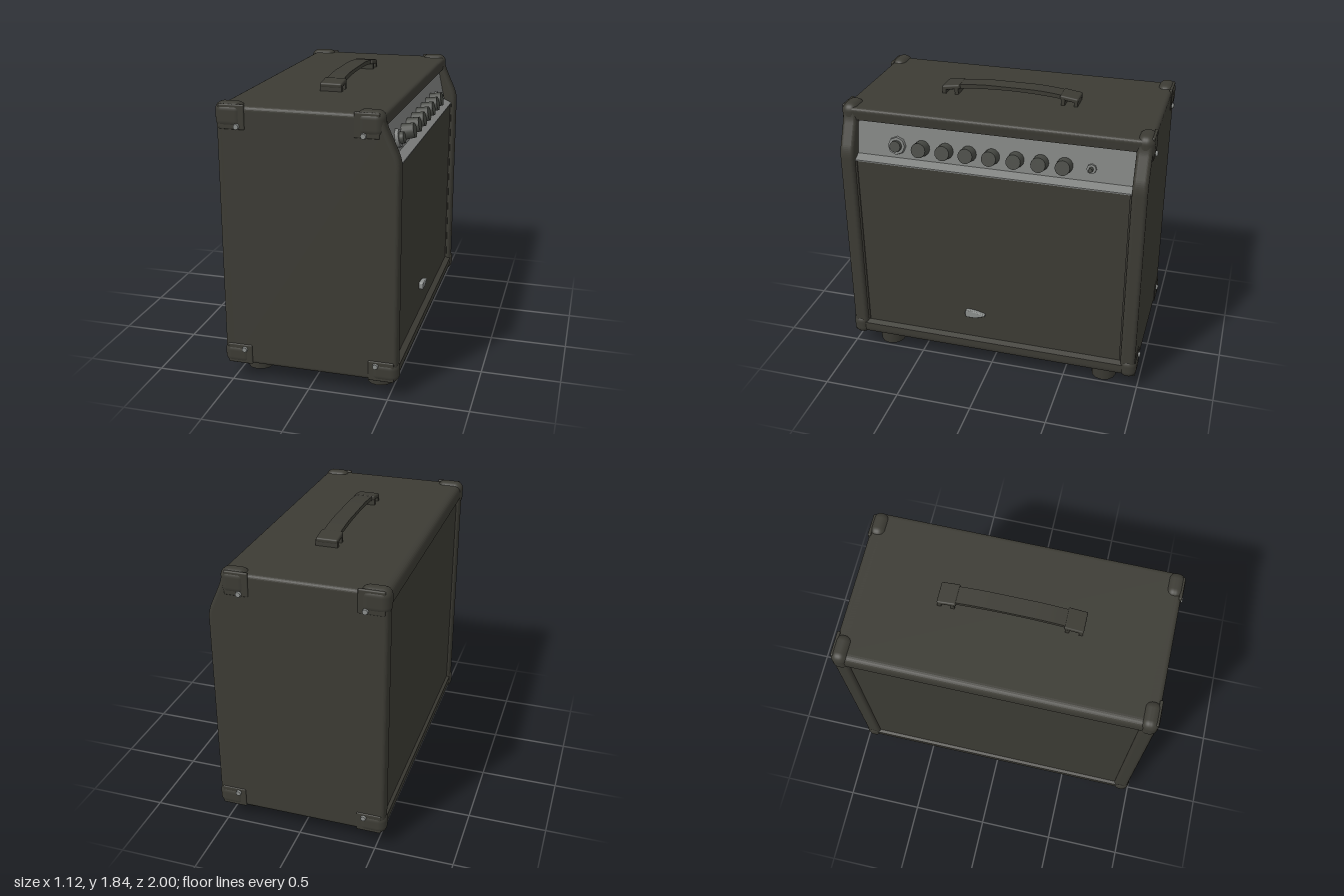
import * as THREE from 'three';
import { RoundedBoxGeometry } from 'three/addons/geometries/RoundedBoxGeometry.js';

const mat = (name, color) => {
  const m = new THREE.MeshStandardMaterial({ color });
  m.name = name;
  return m;
};

// Closed polygon whose points may carry a corner radius: [x, y, r]
function roundedShape(points) {
  const s = new THREE.Shape();
  const n = points.length;
  points.forEach(([x, y, r = 0], i) => {
    const p = new THREE.Vector2(x, y);
    const toward = (q) => new THREE.Vector2(q[0], q[1]).sub(p).setLength(r).add(p);
    const a = r ? toward(points[(i + n - 1) % n]) : p;
    if (i === 0) s.moveTo(a.x, a.y); else s.lineTo(a.x, a.y);
    if (r) {
      const b = toward(points[(i + 1) % n]);
      s.quadraticCurveTo(x, y, b.x, b.y);
    }
  });
  s.closePath();
  return s;
}

// Extrusion centred on z, with an optional inward bevel
function slab(points, depth, bevel = 0) {
  const g = new THREE.ExtrudeGeometry(roundedShape(points), {
    depth: depth - 2 * bevel, bevelEnabled: bevel > 0, bevelThickness: bevel,
    bevelSize: bevel, bevelOffset: -bevel, bevelSegments: 6, curveSegments: 8,
  });
  return g.translate(0, 0, -(depth - 2 * bevel) / 2);
}

export function createModel() {
  const covering = mat('dark covering', 0x3c3b34);
  const panelGrey = mat('panel grey', 0x7e807e);
  const knobGrey = mat('knob grey', 0x484a45);
  const metal = mat('metal', 0x8c8f8d);

  const root = new THREE.Group();
  root.name = 'amplifier';
  const add = (name, geometry, material, x = 0, y = 0, z = 0) => {
    const m = new THREE.Mesh(geometry, material);
    m.name = name;
    m.position.set(x, y, z);
    root.add(m);
    return m;
  };

  // Cabinet core with recessed grille, control bay and back panel
  add('cabinetCore', slab([
    [-0.55, 0.11, 0.05], [0.55, 0.11, 0.05], [0.55, 0.195], [0.515, 0.21],
    [0.515, 1.43], [0.46, 1.455], [0.415, 1.67], [0.45, 1.68],
    [0.46, 1.76, 0.03], [-0.55, 1.76, 0.05], [-0.55, 1.67], [-0.53, 1.66],
    [-0.53, 0.21], [-0.55, 0.2],
  ], 1.88), covering);

  // Side panels with the sloped upper front edge
  const sidePoints = [
    [-0.55, 0.11, 0.06], [0.55, 0.11, 0.06], [0.55, 1.49, 0.05],
    [0.46, 1.69, 0.03], [0.45, 1.76, 0.04], [-0.55, 1.76, 0.06],
  ];
  for (const s of [-1, 1]) {
    add('sidePanel', slab(sidePoints, 0.095, 0.025), covering, 0, 0, s * 0.9325);
  }

  // Control panel and its sloping lower ledge
  add('controlPanel', slab([
    [0.521, 1.428], [0.521, 1.436], [0.467, 1.461], [0.422, 1.672],
    [0.414, 1.67], [0.459, 1.455], [0.514, 1.43],
  ], 1.772), panelGrey);

  // Seam around the grille cloth
  for (const s of [-1, 1]) {
    add('grilleSideTrim', new THREE.BoxGeometry(0.012, 1.21, 0.012), covering, 0.517, 0.82, s * 0.88);
  }

  // Controls, tilted to stand square on the sloping panel
  const tilt = 0.21;
  const control = (name, z, r, length, sides, material) => {
    const g = new THREE.CylinderGeometry(r * 0.9, r, length, sides);
    g.translate(0, length / 2, 0);
    const m = add(name, g, material, 0.437, 1.535, z);
    m.rotation.z = -(Math.PI / 2 - tilt);
    return m;
  };
  control('inputJack', 0.62, 0.062, 0.035, 8, panelGrey);
  control('inputJackCollar', 0.62, 0.04, 0.06, 12, knobGrey);
  for (const z of [0.455, 0.3, 0.15, 0, -0.155, -0.31, -0.46]) {
    control('knob', z, 0.052, 0.09, 16, knobGrey);
  }
  control('switchBase', -0.625, 0.033, 0.03, 8, panelGrey);
  control('switchLever', -0.625, 0.015, 0.07, 8, knobGrey);

  // Small plain badge on the grille
  add('badge', slab([
    [-0.17, 0.375, 0.02], [-0.1, 0.375, 0.02], [-0.035, 0.398], [-0.035, 0.408],
    [-0.1, 0.425, 0.02], [-0.17, 0.43, 0.02],
  ], 0.03, 0.006).rotateY(Math.PI / 2), metal, 0.53);

  // Corner protectors and their screws
  for (const s of [-1, 1]) {
    const corners = [
      // x centre, y centre, width, height, screw x, screw y
      [-0.47, 1.7, 0.18, 0.16, -0.42, 1.64],
      [0.375, 1.7, 0.17, 0.16, 0.34, 1.635],
      [-0.47, 0.17, 0.18, 0.14, -0.42, 0.21],
      [0.47, 0.17, 0.18, 0.14, 0.42, 0.21],
    ];
    for (const [x, y, w, h, sx, sy] of corners) {
      add('cornerProtector', new RoundedBoxGeometry(w, h, 0.11, 5, 0.05), covering, x, y, s * 0.936);
      add('cornerPlate', new RoundedBoxGeometry(w - 0.02, h - 0.01, 0.02, 2, 0.008), covering,
        x - Math.sign(x) * 0.018, y + (y > 1 ? -0.005 : 0.005), s * 0.976);
      const screw = new THREE.CylinderGeometry(0.016, 0.02, 0.02, 8).rotateX(s * Math.PI / 2);
      add('cornerScrew', screw, metal, sx, sy, s * 0.99);
    }
  }

  // Feet
  for (const x of [-0.4, 0.4]) {
    for (const z of [-0.76, 0.76]) {
      add('foot', new THREE.CylinderGeometry(0.093, 0.082, 0.13, 12), covering, x, 0.065, z);
    }
  }

  // Carrying handle: arched strap, end caps and supports (profile runs along z)
  const strap = new THREE.Shape();
  strap.moveTo(-0.44, 1.785);
  strap.quadraticCurveTo(0, 1.845, 0.44, 1.785);
  strap.lineTo(0.44, 1.808);
  strap.quadraticCurveTo(0.25, 1.838, 0.13, 1.838);
  strap.lineTo(-0.13, 1.838);
  strap.quadraticCurveTo(-0.25, 1.838, -0.44, 1.808);
  strap.closePath();
  const strapGeo = new THREE.ExtrudeGeometry(strap, { depth: 0.11, bevelEnabled: false, curveSegments: 12 });
  strapGeo.translate(0, 0, -0.055).rotateY(Math.PI / 2);
  add('handleStrap', strapGeo, covering, -0.01);
  for (const s of [-1, 1]) {
    const cap = add('handleEndCap', new RoundedBoxGeometry(0.14, 0.03, 0.12, 2, 0.01), covering, -0.01, 1.803, s * 0.39);
    cap.rotation.x = s * 0.14;
    for (const z of [0.352, 0.435]) {
      add('handleSupport', new THREE.BoxGeometry(0.14, 0.05, 0.024), covering, -0.01, 1.775, s * z);
    }
  }
  return root;
}
